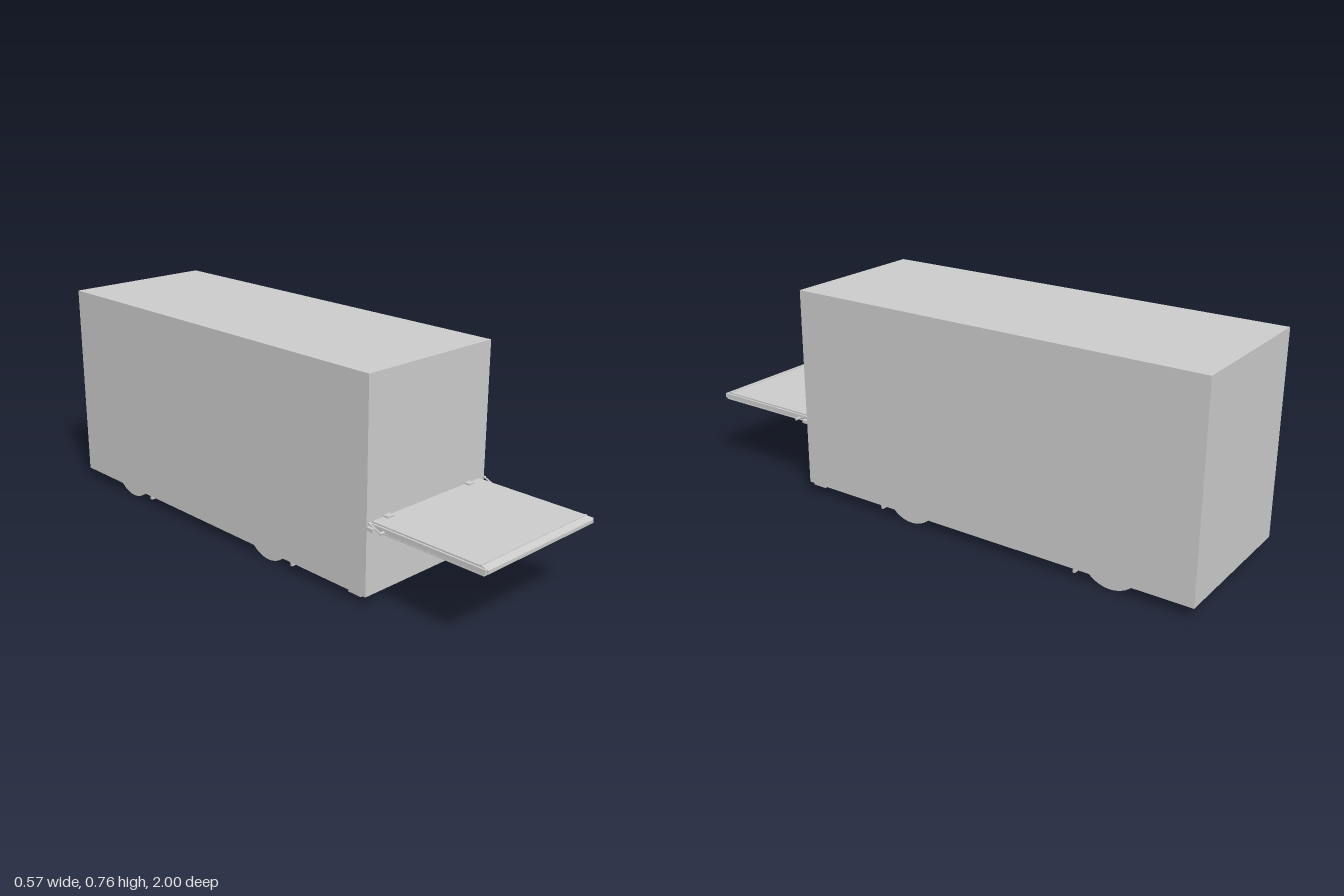
import * as THREE from 'three';

const material = new THREE.MeshStandardMaterial({ color: 0xcccccc, flatShading: true });
const smooth = new THREE.MeshStandardMaterial({ color: 0xcccccc });

export function createModel() {
  const model = new THREE.Group();

  const add = (name, geometry, x, y, z, mat = material) => {
    const mesh = new THREE.Mesh(geometry, mat);
    mesh.name = name;
    mesh.position.set(x, y, z);
    model.add(mesh);
    return mesh;
  };
  // Box given by its limits on each axis
  const box = (name, x0, x1, y0, y1, z0, z1) =>
    add(name, new THREE.BoxGeometry(x1 - x0, y1 - y0, z1 - z0),
      (x0 + x1) / 2, (y0 + y1) / 2, (z0 + z1) / 2);
  // Cylinder lying along x
  const axle = (name, radius, length, x, y, z, sides = 16) => {
    const mesh = add(name, new THREE.CylinderGeometry(radius, radius, length, sides), x, y, z, smooth);
    mesh.rotation.z = Math.PI / 2;
    return mesh;
  };

  // Cargo box
  box('cargoBody', -0.285, 0.285, 0.035, 0.765, -1, 0.55);

  // Tail lift platform: side profile with a chamfered leading edge, extruded across x
  const profile = new THREE.Shape([
    [0.55, 0.264], [0.99, 0.264], [1, 0.269], [1, 0.281], [0.975, 0.288], [0.55, 0.288],
  ].map(([z, y]) => new THREE.Vector2(-z, y)));
  const platform = new THREE.ExtrudeGeometry(profile, { depth: 0.52, bevelEnabled: false });
  platform.rotateY(Math.PI / 2);
  add('liftPlatform', platform, -0.26, 0, 0);
  box('platformLip', -0.26, 0.26, 0.286, 0.29, 0.968, 0.975);
  box('platformUnderside', -0.265, 0.265, 0.261, 0.265, 0.55, 0.99);

  for (const side of [-1, 1]) {
    const s = (name, x0, x1, ...rest) =>
      box(name, Math.min(side * x0, side * x1), Math.max(side * x0, side * x1), ...rest);

    // Platform edge rails and hinges
    s('platformRail', 0.26, 0.267, 0.267, 0.283, 0.55, 0.995);
    s('platformHinge', 0.183, 0.21, 0.285, 0.294, 0.55, 0.571);

    // Lift arm brackets and sloping stays
    s('liftBracket', 0.272, 0.284, 0.263, 0.275, 0.548, 0.575);
    axle('liftPivot', 0.005, 0.02, side * 0.275, 0.27, 0.605, 12);
    const stay = add('liftStay', new THREE.CylinderGeometry(0.003, 0.003, 0.058, 8),
      side * 0.279, 0.279, 0.581, smooth);
    stay.rotation.x = Math.atan2(0.05, -0.022);
    axle('stayPin', 0.004, 0.009, side * 0.279, 0.288, 0.557, 12);

    // Low corner fitting under the front end
    s('cornerFitting', 0.25, 0.285, 0.029, 0.036, 0.475, 0.53);

    // Wheels and the mud flaps ahead of them
    for (const z of [0.08, -0.71]) {
      axle('wheel', 0.11, 0.075, side * 0.2385, 0.11, z, 48);
      s('mudFlap', 0.203, 0.284, 0.021, 0.037, z + 0.121, z + 0.129);
    }
  }
  return model;
}
